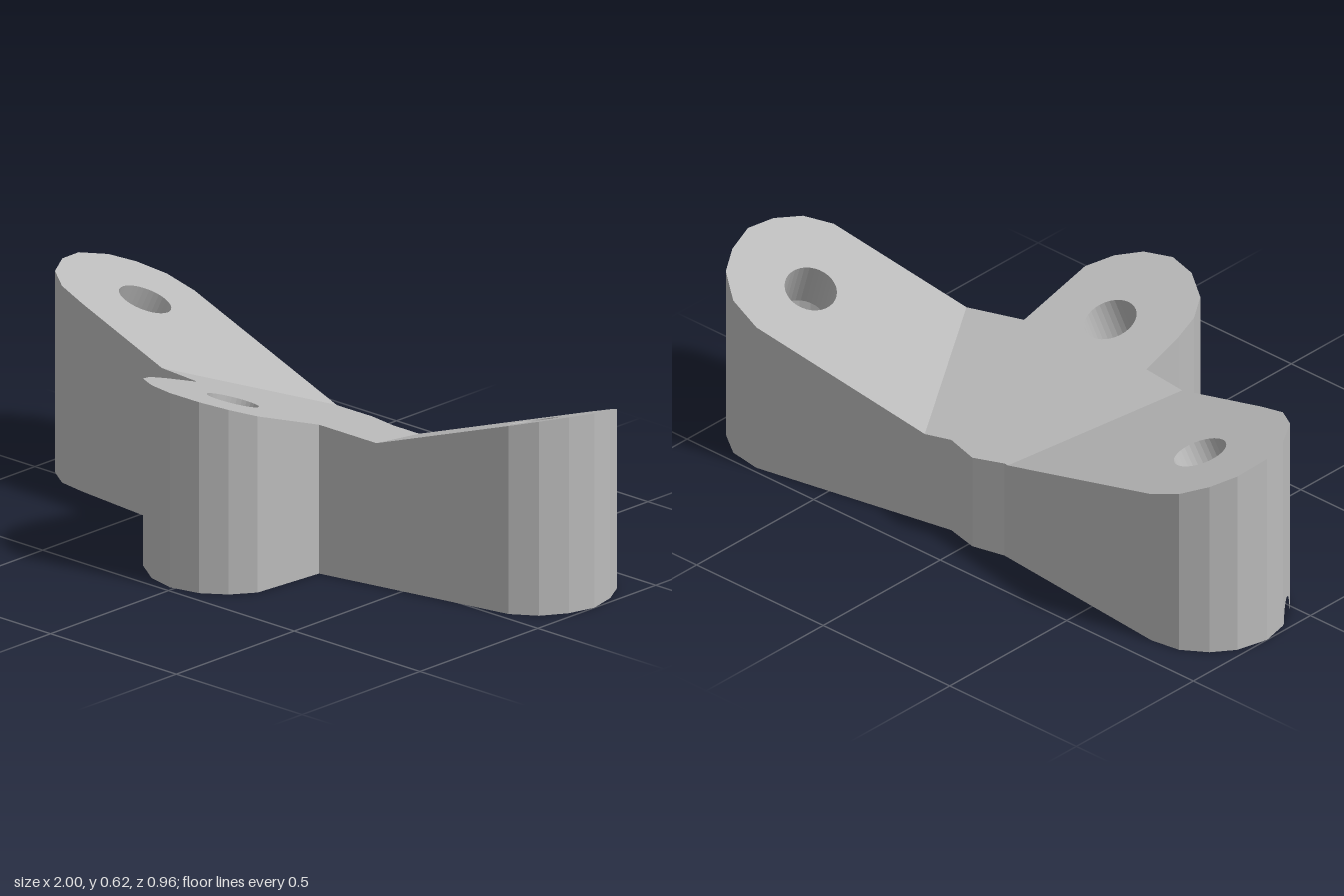
import * as THREE from 'three';
import { mergeGeometries } from 'three/addons/utils/BufferGeometryUtils.js';

// Footprint as [x, z]: back notch, left arm, front arm, right arm
const outline = [
  [-0.12, -0.355], [-0.016, -0.38], [0.09, -0.355],
  [0.743, -0.482], [0.85, -0.465], [0.935, -0.405], [0.978, -0.33], [1, -0.24],
  [0.978, -0.155], [0.93, -0.08], [0.855, -0.03], [0.22, 0.096],
  [0.2, 0.335], [0.15, 0.405], [0.08, 0.455], [-0.016, 0.477], [-0.11, 0.455],
  [-0.2, 0.395], [-0.24, 0.325], [-0.25, 0.25], [-0.25, 0.11],
  [-0.755, 0.06], [-0.85, 0.045], [-0.925, -0.005], [-0.98, -0.095], [-1, -0.185],
  [-0.975, -0.285], [-0.925, -0.35], [-0.85, -0.4], [-0.755, -0.415],
];
const notchCorner = outline[23];

// Each arm has a sloped top plane y = h + gx * x + gz * z and one bore
const arms = [
  { name: 'front', h: 0.4325, gx: -0.03, gz: 0.35, hole: [-0.016, 0.21] },
  { name: 'right', h: 0.334, gx: -0.312, gz: 0.18, hole: [-0.74, -0.19] },
  { name: 'left', h: 0.2895, gx: 0.3457, gz: 0.1465, hole: [0.738, -0.255] },
];
const SCREW_R = 0.076, BORE_R = 0.165, SCREW_DEPTH = 0.17, SIDES = 32;
const height = (arm, [x, z]) => arm.h + arm.gx * x + arm.gz * z;

// Keep the part of a polygon where arm a lies above arm b
function clip(poly, a, b) {
  const out = [];
  poly.forEach((p, i) => {
    const q = poly[(i + 1) % poly.length];
    const dp = height(a, p) - height(b, p), dq = height(a, q) - height(b, q);
    if (dp >= 0) out.push(p);
    if (dp * dq < 0) {
      const t = dp / (dp - dq);
      out.push([p[0] + (q[0] - p[0]) * t, p[1] + (q[1] - p[1]) * t]);
    }
  });
  return out;
}

function ring([cx, cz], r) {
  return Array.from({ length: SIDES }, (_, i) => {
    const t = (i / SIDES) * Math.PI * 2;
    return [cx + r * Math.cos(t), cz + r * Math.sin(t)];
  });
}

const boreCentre = (arm) => [
  arm.hole[0] + arm.gx * SCREW_DEPTH, arm.hole[1] + arm.gz * SCREW_DEPTH,
];

function flat(geometry) {
  const g = geometry.index ? geometry.toNonIndexed() : geometry;
  g.deleteAttribute('uv');
  g.computeVertexNormals();
  return g;
}

function quads(list) {
  const pos = [];
  for (const [a, b, c, d] of list) pos.push(...a, ...b, ...c, ...a, ...c, ...d);
  const g = new THREE.BufferGeometry();
  g.setAttribute('position', new THREE.Float32BufferAttribute(pos, 3));
  return flat(g);
}

// Flat face with holes; sign -1 faces up, +1 faces down
function cap(poly, holes, sign) {
  const toPoints = (pts) => pts.map(([x, z]) => new THREE.Vector2(x, sign * z));
  const shape = new THREE.Shape(toPoints(poly));
  holes.forEach((h) => shape.holes.push(new THREE.Path(toPoints(h))));
  return new THREE.ShapeGeometry(shape).rotateX(sign * Math.PI / 2);
}

// Wall panel with a small arch cut from its lower edge
function notchedWall(a, b, ya, yb) {
  const pts = [new THREE.Vector2(0, yb), new THREE.Vector2(0, 0)];
  for (let i = 0; i <= 10; i++) {
    const t = (i / 10) * Math.PI;
    pts.push(new THREE.Vector2(0.5 - 0.38 * Math.cos(t), 0.065 * Math.sin(t)));
  }
  pts.push(new THREE.Vector2(1, 0), new THREE.Vector2(1, ya));
  const g = new THREE.ShapeGeometry(new THREE.Shape(pts));
  const p = g.attributes.position;
  for (let i = 0; i < p.count; i++) {
    const u = p.getX(i);
    p.setXYZ(i, b[0] + (a[0] - b[0]) * u, p.getY(i), b[1] + (a[1] - b[1]) * u);
  }
  return flat(g);
}

export function createModel() {
  const group = new THREE.Group();
  group.name = 'threeArmBracket';
  const grey = new THREE.MeshStandardMaterial({ color: 0xbbbbbb });
  grey.name = 'grey';
  const add = (name, geometry) => {
    const mesh = new THREE.Mesh(geometry, grey);
    mesh.name = name;
    group.add(mesh);
  };

  for (const arm of arms) {
    const others = arms.filter((o) => o !== arm);
    const poly = others.reduce((p, o) => clip(p, arm, o), outline);

    // Sloped top
    const top = cap(poly, [ring(arm.hole, SCREW_R)], -1);
    const p = top.attributes.position;
    for (let i = 0; i < p.count; i++) p.setY(i, height(arm, [p.getX(i), p.getZ(i)]));
    add(arm.name + 'ArmTop', flat(top));

    // Side walls, leaving the creases between arms open
    const walls = [], panels = [];
    poly.forEach((a, i) => {
      const b = poly[(i + 1) % poly.length];
      const ya = height(arm, a), yb = height(arm, b);
      const crease = others.some((o) =>
        Math.abs(height(o, a) - ya) < 1e-6 && Math.abs(height(o, b) - yb) < 1e-6);
      if (crease) return;
      if (a === notchCorner) panels.push(notchedWall(a, b, ya, yb));
      else walls.push([[a[0], 0, a[1]], [a[0], ya, a[1]], [b[0], yb, b[1]], [b[0], 0, b[1]]]);
    });
    add(arm.name + 'ArmWalls', mergeGeometries([quads(walls), ...panels]));

    // Screw hole leaning with the slope, opening into a wide bore below
    const lift = (pts, drop) => pts.map((q) => [q[0], height(arm, q) - drop, q[1]]);
    const centre = boreCentre(arm), wide = ring(centre, BORE_R);
    const rings = [
      lift(ring(arm.hole, SCREW_R), 0),
      lift(ring(centre, SCREW_R), SCREW_DEPTH),
      lift(wide, SCREW_DEPTH),
      wide.map(([x, z]) => [x, 0, z]),
    ];
    const faces = [];
    for (let k = 0; k < 3; k++) {
      for (let i = 0; i < SIDES; i++) {
        const j = (i + 1) % SIDES;
        faces.push([rings[k][i], rings[k + 1][i], rings[k + 1][j], rings[k][j]]);
      }
    }
    add(arm.name + 'ArmBore', quads(faces));
  }

  // Underside with the three bore openings
  add('underside', flat(cap(outline, arms.map((a) => ring(boreCentre(a), BORE_R)), 1)));
  return group;
}
